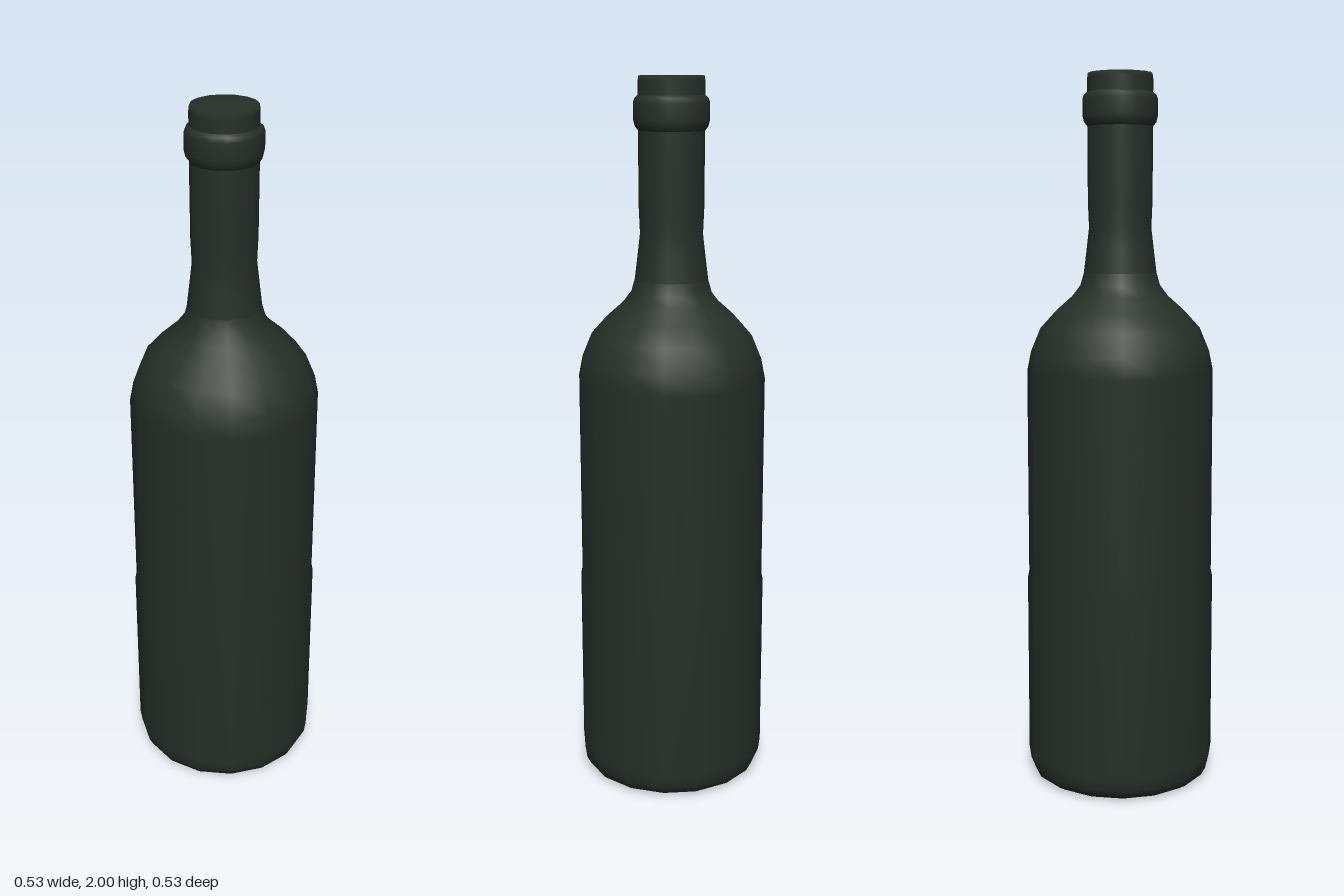
import * as THREE from 'three';

const SIDES = 16;

// Smooth body of revolution from [radius, height] pairs, bottom to top
function turned(name, profile, material) {
  const points = profile.map(([r, y]) => new THREE.Vector2(r, y));
  const mesh = new THREE.Mesh(new THREE.LatheGeometry(points, SIDES), material);
  mesh.name = name;
  return mesh;
}

export function createModel() {
  const group = new THREE.Group();
  group.name = 'bottle';
  const glass = new THREE.MeshStandardMaterial({ color: 0x262f28 });

  // Base, straight body and rounded shoulder
  group.add(turned('body', [
    [0, 0], [0.23, 0], [0.25, 0.012], [0.262, 0.035], [0.267, 0.07],
    [0.267, 0.58], [0.263, 0.6], [0.263, 1.18], [0.252, 1.235],
    [0.225, 1.3], [0.18, 1.35], [0.135, 1.39], [0.112, 1.42], [0.102, 1.455],
  ], glass));

  // Tapered neck up to the closed top
  group.add(turned('neck', [
    [0.102, 1.455], [0.094, 1.52], [0.087, 1.58], [0.09, 1.65],
    [0.091, 1.86], [0.091, 1.985], [0.089, 2], [0, 2],
  ], glass));

  // Raised ring below the mouth
  group.add(turned('lipRing', [
    [0.09, 1.855], [0.1, 1.868], [0.104, 1.885],
    [0.104, 1.93], [0.1, 1.942], [0.09, 1.95],
  ], glass));

  group.rotation.y = 0.067;
  return group;
}
